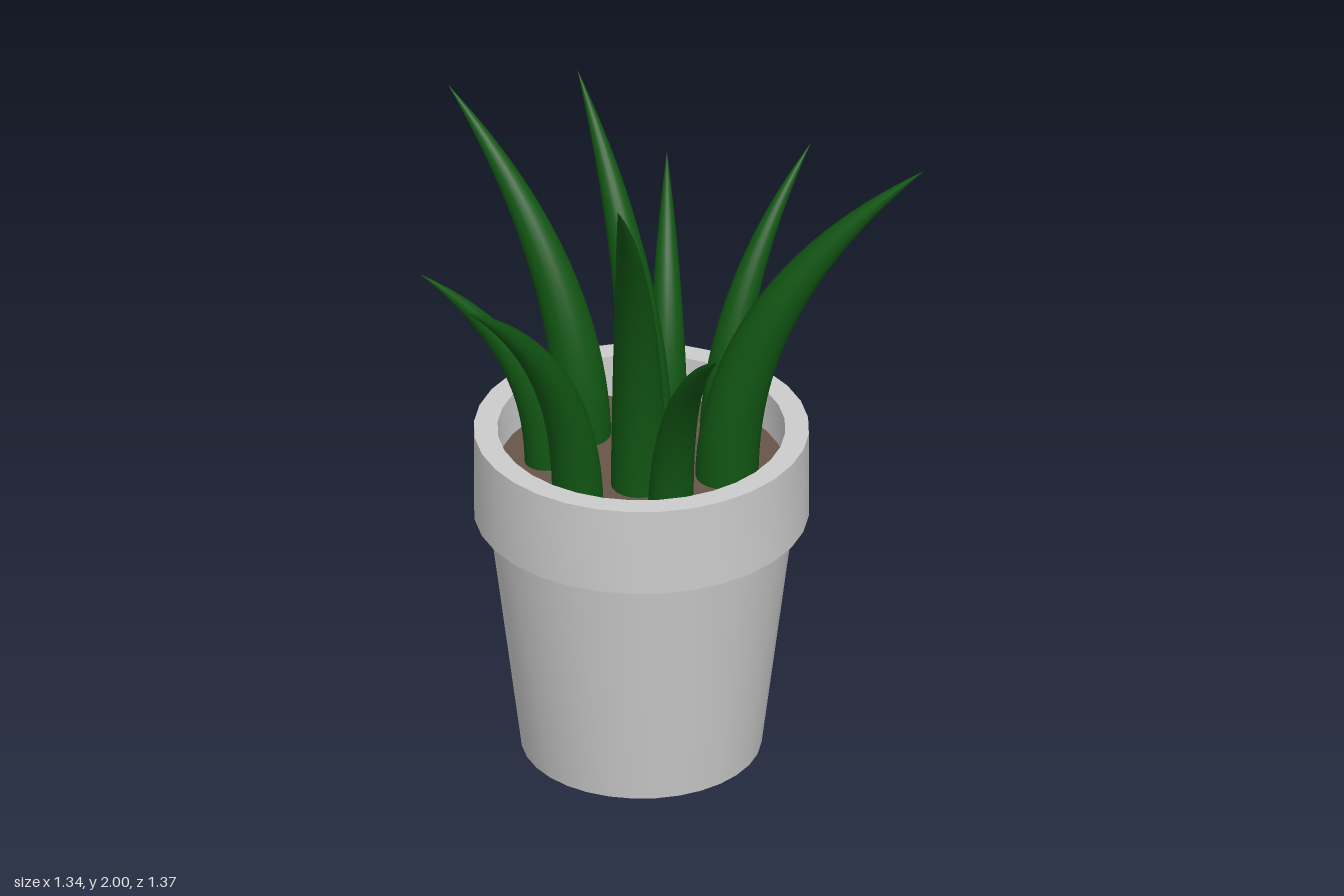
import * as THREE from 'three';
import { toCreasedNormals } from 'three/addons/utils/BufferGeometryUtils.js';

const POT_X = -0.06;
const SOIL_Y = 0.86;

// Base x, base z, base radius, then tip x, y, z
const LEAVES = [
  [-0.155, -0.225, 0.078, -0.39, 1.75, -0.69],
  [-0.015, -0.09, 0.073, -0.06, 1.81, -0.56],
  [0.09, -0.23, 0.056, 0.205, 1.49, -0.58],
  [0.2, -0.09, 0.06, 0.525, 1.62, -0.29],
  [0.15, 0.11, 0.087, 0.67, 1.81, 0.26],
  [-0.065, 0.27, 0.063, -0.065, 1.57, 0.68],
  [-0.095, 0.085, 0.077, -0.3, 2.0, 0.52],
  [-0.28, 0.11, 0.07, -0.67, 1.64, 0.32],
  [-0.3, -0.115, 0.056, -0.63, 1.46, -0.21],
];

// A tube along a bending curve, narrowed to a point at the tip
function leafGeometry([bx, bz, radius, tx, ty, tz]) {
  const baseY = SOIL_Y - 0.02;
  const curve = new THREE.QuadraticBezierCurve3(
    new THREE.Vector3(bx, baseY, bz),
    new THREE.Vector3(bx, baseY + 0.6 * (ty - baseY), bz),
    new THREE.Vector3(tx, ty, tz)
  );
  const steps = 24, sides = 20;
  const geometry = new THREE.TubeGeometry(curve, steps, radius, sides, false);
  const pos = geometry.attributes.position;
  const v = new THREE.Vector3();
  for (let i = 0; i <= steps; i++) {
    const u = i / steps;
    const centre = curve.getPointAt(u);
    const scale = 1 - Math.pow(u, 1.7);
    for (let j = 0; j <= sides; j++) {
      const k = i * (sides + 1) + j;
      v.fromBufferAttribute(pos, k).sub(centre).multiplyScalar(scale).add(centre);
      pos.setXYZ(k, v.x, v.y, v.z);
    }
  }
  return geometry;
}

export function createModel() {
  const group = new THREE.Group();
  group.name = 'pottedPlant';
  const clay = new THREE.MeshStandardMaterial({ color: 0xcccccc });
  const earth = new THREE.MeshStandardMaterial({ color: 0x695549 });
  const green = new THREE.MeshStandardMaterial({ color: 0x115513 });

  // Tapered pot with a thick collar, closed underneath
  const profile = [
    [0, 0], [0.33, 0], [0.42, 0.725], [0.46, 0.725],
    [0.46, 0.985], [0.395, 0.985], [0.395, SOIL_Y - 0.02],
  ].map(([r, y]) => new THREE.Vector2(r, y));
  const pot = new THREE.Mesh(toCreasedNormals(new THREE.LatheGeometry(profile, 32), 0.6), clay);
  pot.name = 'pot';
  pot.position.x = POT_X;
  group.add(pot);

  // Soil disc inside the collar
  const soil = new THREE.Mesh(new THREE.CircleGeometry(0.395, 32), earth);
  soil.name = 'soil';
  soil.rotation.x = -Math.PI / 2;
  soil.position.set(POT_X, SOIL_Y, 0);
  group.add(soil);

  // Leaves fanning outward
  const leaves = new THREE.Group();
  leaves.name = 'leaves';
  LEAVES.forEach((spec, i) => {
    const leaf = new THREE.Mesh(leafGeometry(spec), green);
    leaf.name = `leaf${i + 1}`;
    leaves.add(leaf);
  });
  group.add(leaves);
  return group;
}
